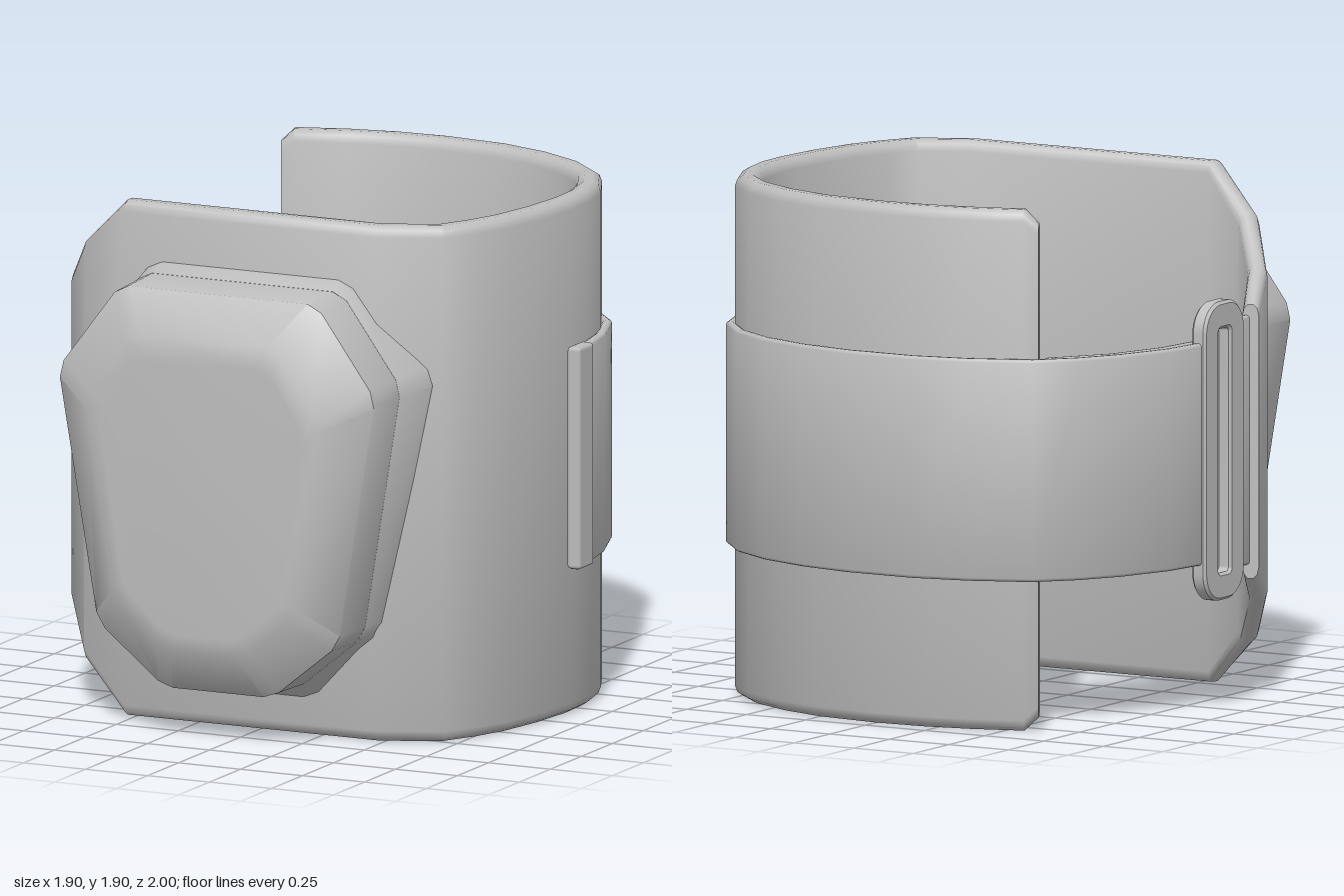
import * as THREE from 'three';
import { toCreasedNormals } from 'three/addons/utils/BufferGeometryUtils.js';
import { RoundedBoxGeometry } from 'three/addons/geometries/RoundedBoxGeometry.js';

const grey = new THREE.MeshStandardMaterial({ color: 0xbebebe });
grey.name = 'plain grey';

// Skin a row of closed cross-sections and cap both ends
function loft(sections, crease) {
  const n = sections[0].length, last = sections.length - 1, index = [];
  const id = (s, j) => s * n + (j % n);
  for (let s = 0; s < last; s++) {
    for (let j = 0; j < n; j++) {
      index.push(id(s, j), id(s + 1, j), id(s + 1, j + 1));
      index.push(id(s, j), id(s + 1, j + 1), id(s, j + 1));
    }
  }
  for (let j = 1; j < n - 1; j++) {
    index.push(id(0, 0), id(0, j), id(0, j + 1));
    index.push(id(last, 0), id(last, j + 1), id(last, j));
  }
  const geo = new THREE.BufferGeometry();
  geo.setAttribute('position', new THREE.Float32BufferAttribute(sections.flat(2), 3));
  geo.setIndex(index);
  return toCreasedNormals(geo, crease);
}

// Upright band along a plan path; each point is [x, z, thickness, bottom, top]
function band(path, bevel) {
  const rim = [[0, 1], [0.1, 0.35], [0.33, 0], [0.67, 0], [0.9, 0.35], [1, 1]];
  const sections = path.map(([x, z, t, bottom, top], k) => {
    const a = path[Math.max(k - 1, 0)], b = path[Math.min(k + 1, path.length - 1)];
    const len = Math.hypot(b[0] - a[0], b[1] - a[1]);
    const nx = -(b[1] - a[1]) / len, nz = (b[0] - a[0]) / len;
    const at = (f, y) => [x - nx * t * f, y, z - nz * t * f];
    return [
      ...rim.map(([f, d]) => at(f, top - d * bevel)),
      ...[...rim].reverse().map(([f, d]) => at(f, bottom + d * bevel)),
    ];
  });
  return loft(sections, 0.75);
}

// Pad outline with each corner cut into two points
function softOutline(points, z, cut = 0.035) {
  return points.flatMap((p, i) => {
    const n = points.length;
    return [points[(i + n - 1) % n], points[(i + 1) % n]].map((q) => {
      const f = cut / Math.hypot(q[0] - p[0], q[1] - p[1]);
      const x = p[0] + (q[0] - p[0]) * f, y = p[1] + (q[1] - p[1]) * f;
      return [x, y, typeof z === 'function' ? z(x) : z];
    });
  });
}

function roundedRect(target, x0, y0, x1, y1, r) {
  target.absarc(x1 - r, y1 - r, r, 0, Math.PI / 2);
  target.absarc(x0 + r, y1 - r, r, Math.PI / 2, Math.PI);
  target.absarc(x0 + r, y0 + r, r, Math.PI, Math.PI * 1.5);
  target.absarc(x1 - r, y0 + r, r, Math.PI * 1.5, Math.PI * 2);
  target.closePath();
  return target;
}

export function createModel() {
  const group = new THREE.Group();
  group.name = 'guardCuff';
  const add = (name, geo) => {
    const mesh = new THREE.Mesh(geo, grey);
    mesh.name = name;
    group.add(mesh);
    return mesh;
  };

  // Open shell: tapered front wing, flat front, round side and back
  const full = [
    [0.48, 0.61], [0.7, 0.51], [0.78, 0.37], [0.83, 0.24], [0.87, 0.05], [0.89, -0.15],
    [0.885, -0.3], [0.85, -0.46], [0.77, -0.63], [0.63, -0.765], [0.45, -0.865],
    [0.25, -0.93], [0, -0.955], [-0.2, -0.945], [-0.38, -0.91],
  ].map(([x, z]) => [x, z, 0.095, 0, 1.9]);
  add('shell', band([
    [-0.93, 0.21, 0.06, 0.45, 1.45],
    [-0.87, 0.37, 0.07, 0.335, 1.57],
    [-0.74, 0.53, 0.08, 0.17, 1.73],
    [-0.54, 0.61, 0.095, 0, 1.9],
    ...full,
    [-0.57, -0.845, 0.085, 0, 1.9],
    [-0.62, -0.82, 0.07, 0.05, 1.85],
  ], 0.04));

  // Strap around the back, its return layer and the front anchor strip
  const strapAt = (y0, y1, t) => ([x, z]) => [x, z, t, y0, y1];
  add('strap', band([
    [0.925, -0.15], [0.925, -0.25], [0.9, -0.39], [0.82, -0.61], [0.68, -0.77], [0.5, -0.885],
    [0.29, -0.96], [0.08, -0.995], [-0.19, -0.995], [-0.4, -0.95], [-0.62, -0.86],
    [-0.74, -0.73], [-0.83, -0.58], [-0.91, -0.37], [-0.94, -0.17],
  ].map(strapAt(0.55, 1.36, 0.035)), 0.012));
  add('strapReturn', band([
    [-0.64, -0.79], [-0.79, -0.58], [-0.87, -0.35], [-0.895, -0.14],
  ].map(strapAt(0.55, 1.36, 0.025)), 0.01));
  add('anchorStrip', band([
    [-0.885, 0.01], [-0.89, 0.12], [-0.9, 0.22], [-0.865, 0.32],
  ].map(strapAt(0.5, 1.41, 0.025)), 0.01));

  // Stitched strap end
  add('strapTab', new RoundedBoxGeometry(0.055, 0.82, 0.12, 1, 0.014))
    .position.set(0.922, 0.955, -0.15);

  // Slotted buckle
  const frame = roundedRect(new THREE.Shape(), -0.19, 0.42, 0.07, 1.49, 0.1);
  frame.holes.push(roundedRect(new THREE.Path(), -0.11, 0.5, -0.01, 1.41, 0.025));
  const buckle = new THREE.ExtrudeGeometry(frame, {
    depth: 0.04, bevelEnabled: true, bevelThickness: 0.01, bevelSize: 0.01,
    bevelSegments: 1, curveSegments: 5,
  });
  buckle.rotateY(-Math.PI / 2).translate(-0.9, 0, 0);
  add('buckle', toCreasedNormals(buckle, 0.6));

  // Front pad: flange, straight wall, sloped bevel and flat face
  const base = [[-0.42, 1.69], [0.36, 1.69], [0.67, 1.35], [0.5, 0.41], [0.22, 0.14],
    [-0.28, 0.14], [-0.56, 0.41], [-0.73, 1.35]];
  const wall = [[-0.43, 1.66], [0.37, 1.66], [0.61, 1.33], [0.46, 0.4], [0.19, 0.18],
    [-0.25, 0.18], [-0.52, 0.4], [-0.68, 1.33]];
  const inset = (sx, top, bottom) => wall.map(([x, y]) => [
    -0.035 + (x + 0.035) * sx, bottom + (y - 0.18) * (top - bottom) / 1.48,
  ]);
  const hug = (x) => 0.61 - 0.07 * THREE.MathUtils.clamp((Math.abs(x + 0.03) - 0.42) / 0.25, 0, 1);
  add('padFlange', loft([
    softOutline(base, (x) => hug(x) - 0.03),
    softOutline(base, hug),
    softOutline(wall, 0.675),
  ], 0.6));
  add('pad', loft([
    softOutline(wall, 0.66),
    softOutline(inset(0.99, 1.65, 0.185), 0.87),
    softOutline(inset(0.73, 1.5, 0.35), 0.995),
    softOutline(inset(0.64, 1.42, 0.41), 1),
  ], 0.9));

  return group;
}
